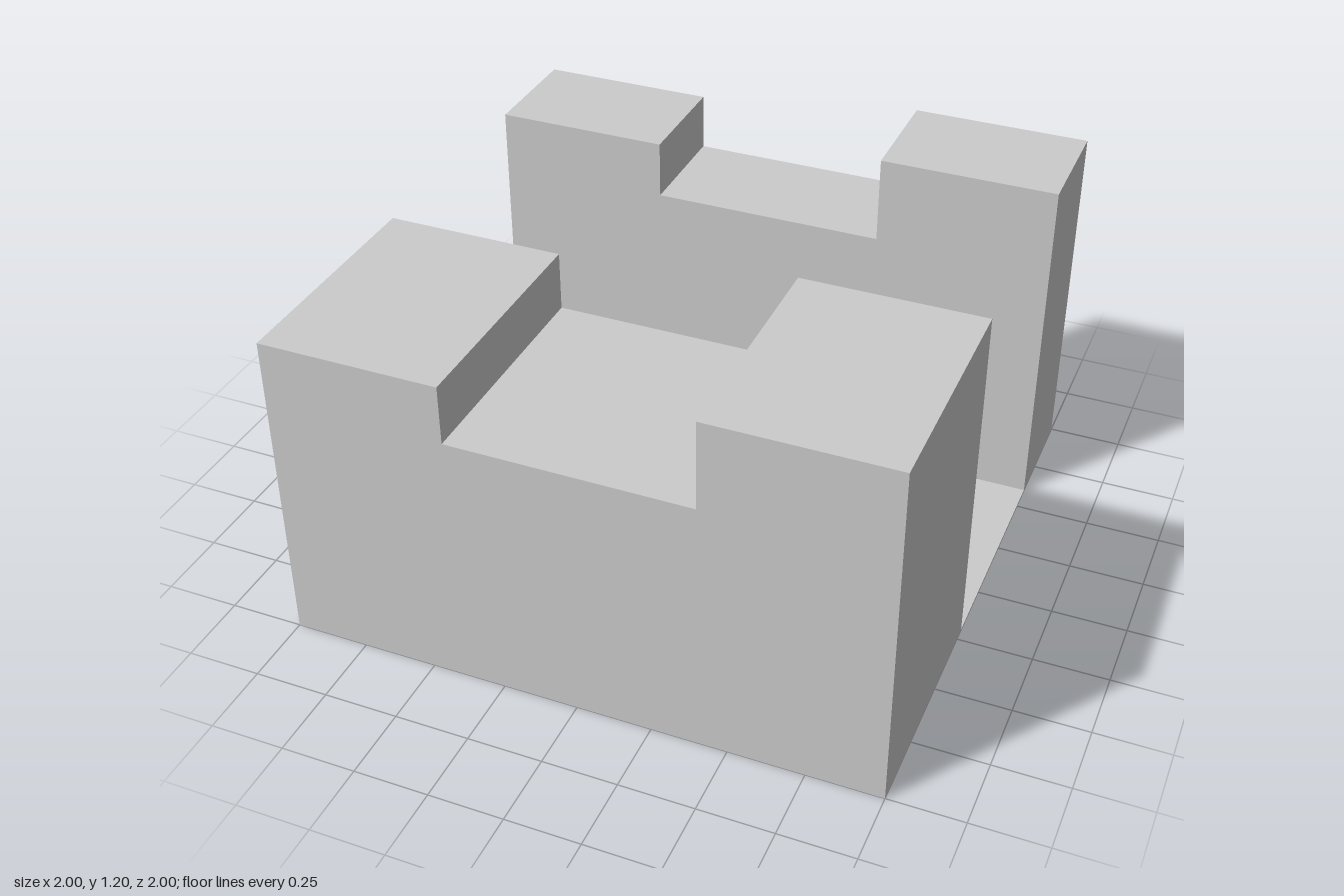
import * as THREE from 'three';

const material = new THREE.MeshStandardMaterial({ color: 0xcccccc, flatShading: true });
const floorMaterial = new THREE.MeshStandardMaterial({ color: 0xcccccc, side: THREE.DoubleSide });

// Wall outline seen from the front: two uneven towers with a notch between
const outline = [
  [-1, 0], [1, 0], [1, 1.2], [0.4, 1.2],
  [0.4, 0.9], [-0.4, 0.9], [-0.4, 1.1], [-1, 1.1],
].map(([x, y]) => new THREE.Vector2(x, y));

function notchedWall(name, zBack, zFront) {
  const geometry = new THREE.ExtrudeGeometry(new THREE.Shape(outline), {
    depth: zFront - zBack,
    bevelEnabled: false,
  });
  geometry.translate(0, 0, zBack);
  const mesh = new THREE.Mesh(geometry, material);
  mesh.name = name;
  return mesh;
}

export function createModel() {
  const model = new THREE.Group();
  model.name = 'notchedBlock';

  // Thick front wall and thin back wall
  model.add(notchedWall('frontWall', 0.2, 1));
  model.add(notchedWall('backWall', -1, -0.6));

  // Paper-thin floor of the channel between the walls
  const floor = new THREE.Mesh(new THREE.PlaneGeometry(2, 0.8).rotateX(-Math.PI / 2), floorMaterial);
  floor.position.z = -0.2;
  floor.name = 'channelFloor';
  model.add(floor);

  return model;
}
